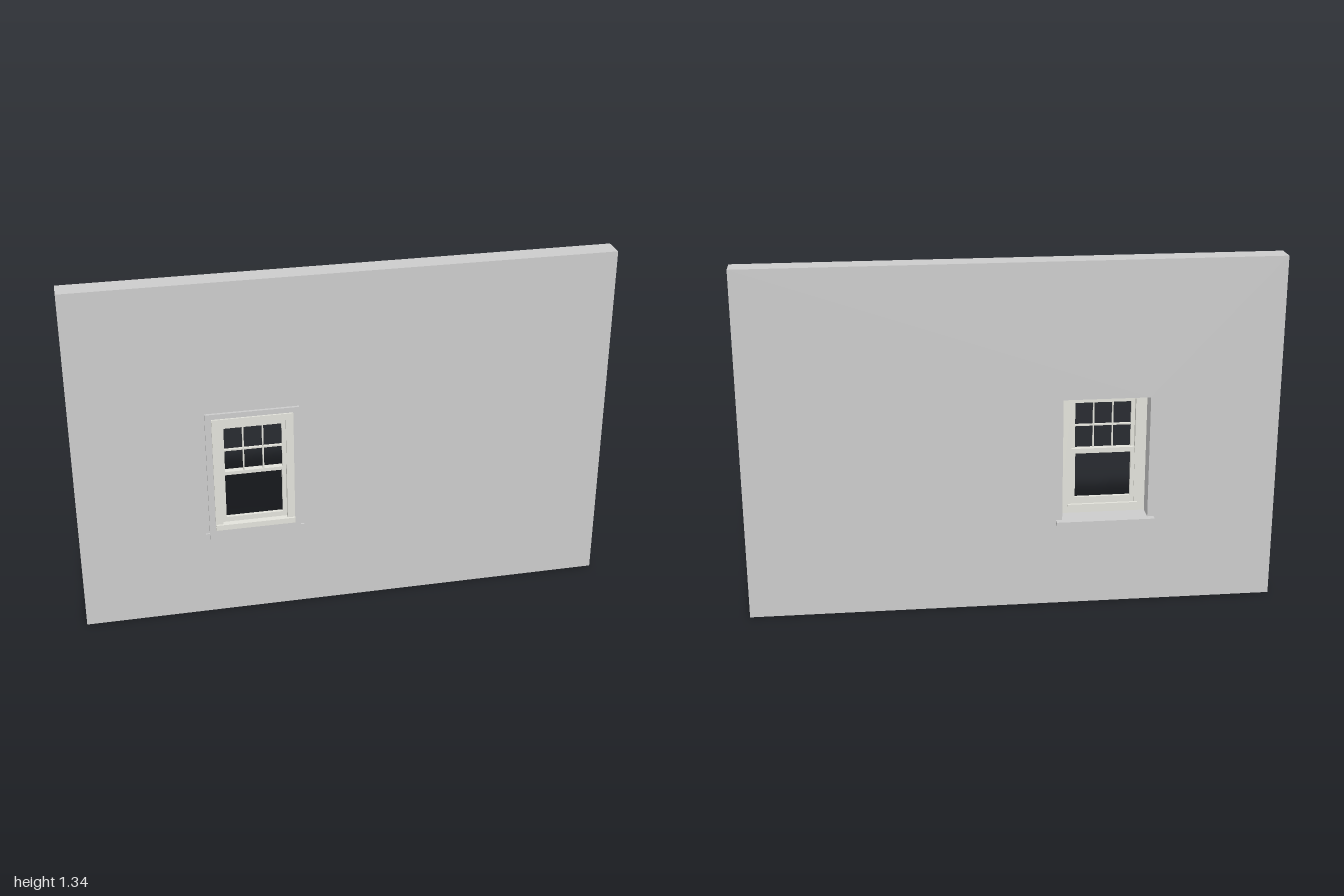
import * as THREE from 'three';

const CX = -0.348; // window centre line
const wallMat = new THREE.MeshStandardMaterial({ color: 0xcccccc });
const frameMat = new THREE.MeshStandardMaterial({ color: 0xe2e2da });

// Rectangle path from half width and bottom / top heights
function rect(Type, hw, y0, y1, cx = CX) {
  const p = new Type();
  p.moveTo(cx - hw, y0);
  p.lineTo(cx + hw, y0);
  p.lineTo(cx + hw, y1);
  p.lineTo(cx - hw, y1);
  p.closePath();
  return p;
}

// Extruded panel with rectangular holes; holes are [halfWidth, y0, y1, centreX]
function panel(name, outer, holes, z0, z1, mat) {
  const shape = rect(THREE.Shape, ...outer);
  holes.forEach(h => shape.holes.push(rect(THREE.Path, ...h)));
  const geo = new THREE.ExtrudeGeometry(shape, { depth: z1 - z0, bevelEnabled: false });
  geo.translate(0, 0, z0);
  const mesh = new THREE.Mesh(geo, mat);
  mesh.name = name;
  return mesh;
}

function bar(name, hw, y0, y1, z0, z1, mat) {
  const mesh = new THREE.Mesh(new THREE.BoxGeometry(hw * 2, y1 - y0, z1 - z0), mat);
  mesh.position.set(CX, (y0 + y1) / 2, (z0 + z1) / 2);
  mesh.name = name;
  return mesh;
}

export function createModel() {
  const model = new THREE.Group();
  model.name = 'wallWithWindow';

  // Wall with its window opening
  model.add(panel('wall', [1, 0, 1.34, 0], [[0.163, 0.335, 0.82]], -0.039, 0.044, wallMat));

  // Flat casing around the outside and the through sill with small horns
  model.add(panel('casing', [0.172, 0.318, 0.84], [[0.149, 0.36, 0.82]], 0.044, 0.054, wallMat));
  model.add(bar('stool', 0.187, 0.331, 0.344, -0.064, 0.05, wallMat));

  const win = new THREE.Group();
  win.name = 'windowUnit';
  model.add(win);

  // Fixed frame: wide inner part and the narrower raised front part
  win.add(panel('innerFrame', [0.163, 0.344, 0.82], [[0.121, 0.378, 0.795]], 0.028, 0.044, frameMat));
  win.add(panel('outerFrame', [0.149, 0.36, 0.82], [[0.121, 0.378, 0.795]], 0.044, 0.06, frameMat));
  win.add(bar('sillNosing', 0.149, 0.378, 0.386, 0.04, 0.068, frameMat));
  win.add(bar('innerLedge', 0.135, 0.372, 0.38, 0.02, 0.03, frameMat));

  // Upper sash: three by two panes
  const panes = [];
  const pitch = 0.0725;
  for (let i = -1; i <= 1; i++) {
    panes.push([0.0337, 0.602, 0.688, CX + i * pitch]);
    panes.push([0.0337, 0.694, 0.78, CX + i * pitch]);
  }
  win.add(panel('upperSash', [0.121, 0.592, 0.795], panes, 0.044, 0.054, frameMat));

  // Lower sash: one large opening
  win.add(panel('lowerSash', [0.121, 0.378, 0.602], [[0.106, 0.406, 0.583]], 0.031, 0.044, frameMat));

  return model;
}
